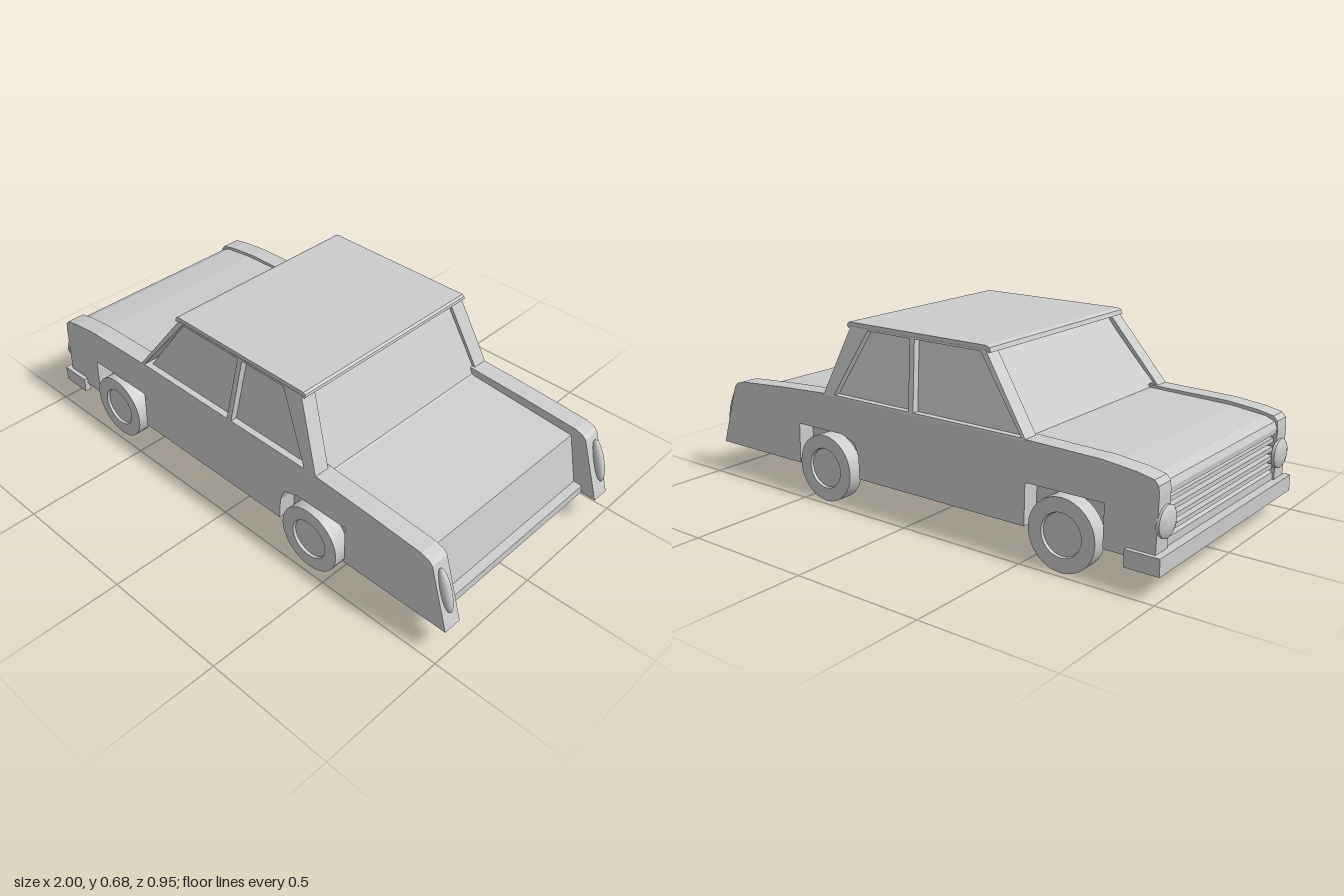
import * as THREE from 'three';
import { toCreasedNormals } from 'three/addons/utils/BufferGeometryUtils.js';

const material = new THREE.MeshStandardMaterial({ color: 0xcccccc });

function addMesh(parent, name, geometry, x = 0, y = 0, z = 0) {
  const mesh = new THREE.Mesh(geometry, material);
  mesh.name = name;
  mesh.position.set(x, y, z);
  parent.add(mesh);
  return mesh;
}

const points = (list) => list.map(([x, y]) => new THREE.Vector2(x, y));

// Side profile (x, y) extruded from z0 to z1, with optional holes
function profile(outline, z0, z1, holes = []) {
  const shape = new THREE.Shape(points(outline));
  holes.forEach((h) => shape.holes.push(new THREE.Path(points(h))));
  const geo = new THREE.ExtrudeGeometry(shape, { depth: z1 - z0, bevelEnabled: false });
  return geo.translate(0, 0, z0);
}

// Lean a side inward: |z| shrinks by slope for each unit of height above y0
function lean(geo, y0, slope) {
  const p = geo.attributes.position;
  for (let i = 0; i < p.count; i++) {
    const z = p.getZ(i);
    p.setZ(i, z - Math.sign(z) * (p.getY(i) - y0) * slope);
  }
  geo.computeVertexNormals();
  return geo;
}

// Round part turned about the z axis, radius/height pairs
function turned(list, segments = 32) {
  const geo = new THREE.LatheGeometry(points(list), segments);
  geo.rotateX(Math.PI / 2);
  return toCreasedNormals(geo, 0.6);
}

function buildSide() {
  const side = new THREE.Group();
  side.name = 'side';

  // Fender slab with the wheel notches cut from its lower edge
  addMesh(side, 'fender', lean(profile([
    [-0.975, 0.115], [-0.79, 0.115], [-0.79, 0.265], [-0.49, 0.265], [-0.49, 0.115],
    [0.25, 0.115], [0.255, 0.2], [0.275, 0.25], [0.34, 0.27], [0.56, 0.27], [0.56, 0.115],
    [1.0, 0.115], [0.925, 0.355], [0.91, 0.37], [0.88, 0.38], [0.65, 0.397], [0.42, 0.41],
    [-0.48, 0.41], [-0.78, 0.403], [-0.9, 0.39], [-0.96, 0.377], [-0.975, 0.36], [-0.978, 0.33],
  ], 0.388, 0.46), 0.115, 0.02));

  // Window frame with front and rear openings
  addMesh(side, 'windowFrame', lean(profile(
    [[-0.492, 0.405], [0.425, 0.405], [0.317, 0.667], [-0.295, 0.667]], 0.395, 0.455,
    [
      [[-0.472, 0.412], [-0.275, 0.66], [0.013, 0.66], [-0.012, 0.412]],
      [[0.01, 0.412], [0.035, 0.66], [0.235, 0.66], [0.37, 0.412]],
    ]), 0.41, 0.17));

  // Wheels with a recessed hub
  for (const [name, x] of [['frontWheel', -0.645], ['rearWheel', 0.41]]) {
    addMesh(side, name, turned([
      [0, 0], [0.128, 0], [0.128, 0.06], [0.077, 0.06], [0.074, 0.05], [0, 0.05],
    ]), x, 0.128, 0.416);
  }

  // Headlight: rim and domed lens facing the nose
  const headlight = turned([
    [0, 0], [0.054, 0], [0.054, 0.012], [0.045, 0.018], [0.03, 0.023], [0, 0.026],
  ]);
  headlight.rotateY(-Math.PI / 2);
  addMesh(side, 'headlight', headlight, -0.973, 0.237, 0.408);

  // Tail light: long oval on the sloping fender end
  const tail = addMesh(side, 'tailLight', new THREE.SphereGeometry(1, 24, 16), 0.964, 0.257, 0.429);
  tail.scale.set(0.022, 0.086, 0.018);
  tail.rotation.z = 0.3;

  // Bumper end wrapping round the corner
  addMesh(side, 'bumperEnd', new THREE.BoxGeometry(0.125, 0.06, 0.025), -0.9375, 0.112, 0.4625);
  return side;
}

export function createModel() {
  const car = new THREE.Group();
  car.name = 'car';

  // Central body: hood, floor, boot lid, recessed tail panel and grille pocket
  addMesh(car, 'body', profile([
    [-0.968, 0.115], [0.94, 0.115], [0.94, 0.148], [0.906, 0.15], [0.866, 0.345],
    [0.43, 0.382], [0.38, 0.4], [-0.48, 0.4], [-0.8, 0.389], [-0.93, 0.373], [-0.965, 0.358],
    [-0.975, 0.335], [-0.973, 0.315], [-0.945, 0.31], [-0.945, 0.175], [-0.968, 0.17],
  ], -0.39, 0.39));

  // Grille bars
  for (let i = 0; i < 4; i++) {
    addMesh(car, 'grilleBar', new THREE.BoxGeometry(0.025, 0.016, 0.75), -0.957, 0.195 + i * 0.033, 0);
  }

  // Glass cabin set inside the frames
  addMesh(car, 'cabinGlass', lean(profile(
    [[-0.475, 0.38], [0.423, 0.38], [0.302, 0.665], [-0.278, 0.665]], -0.43, 0.43), 0.41, 0.17));

  // Roof panel with softened ends
  addMesh(car, 'roof', profile([
    [-0.315, 0.66], [0.33, 0.66], [0.336, 0.666], [0.334, 0.676], [0.326, 0.682],
    [-0.295, 0.682], [-0.31, 0.676],
  ], -0.41, 0.41));

  // Front bumper bar
  addMesh(car, 'frontBumper', new THREE.BoxGeometry(0.045, 0.06, 0.95), -0.9775, 0.112, 0);

  const left = buildSide();
  const right = left.clone();
  right.scale.z = -1;
  car.add(left, right);
  return car;
}
